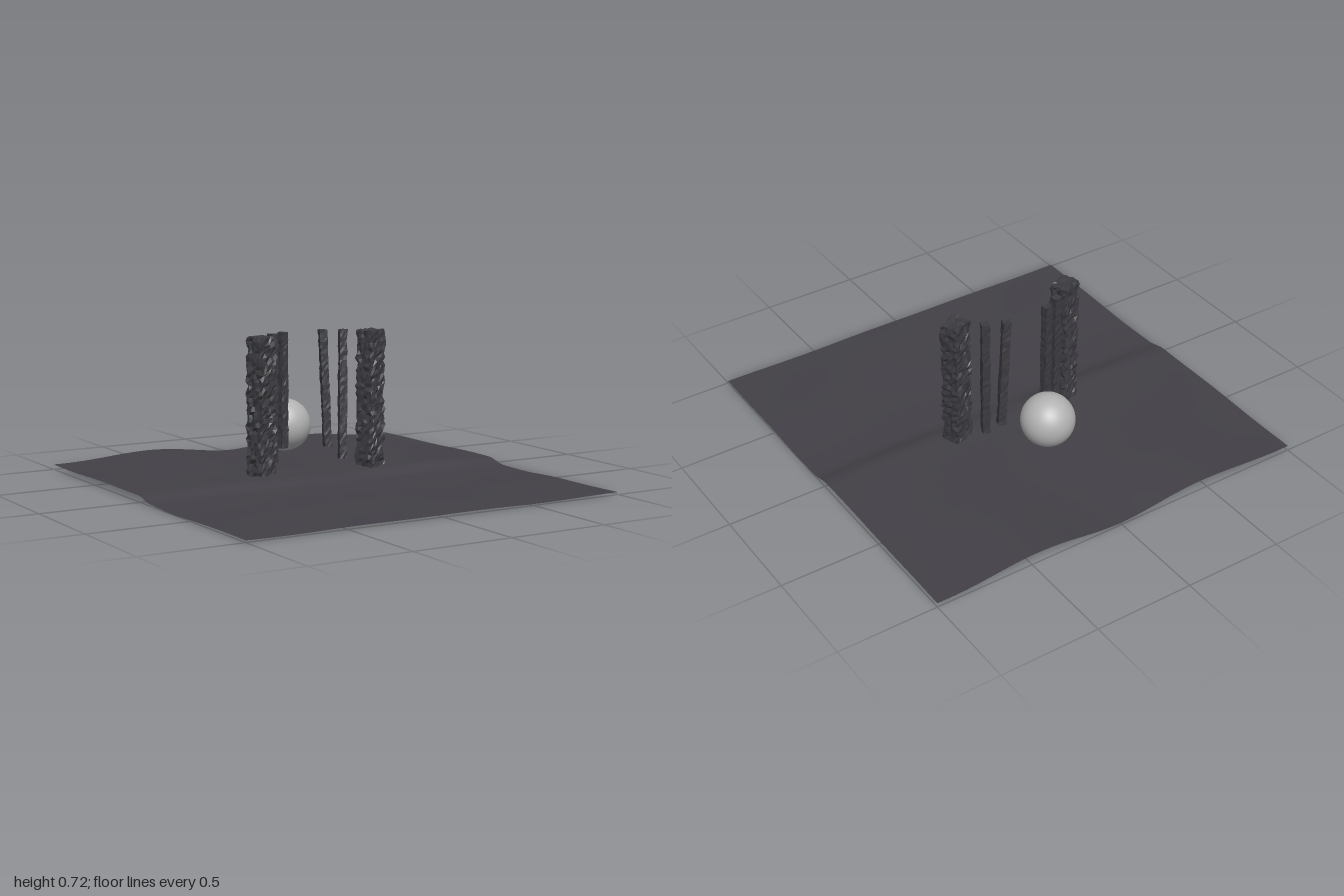
import * as THREE from 'three';

const groundMat = new THREE.MeshStandardMaterial({ color: 0x424046, side: THREE.DoubleSide });
groundMat.name = 'charcoal ground';
const rockMat = new THREE.MeshStandardMaterial({ color: 0x3c3b40, flatShading: true });
rockMat.name = 'dark rock';
const orbMat = new THREE.MeshStandardMaterial({ color: 0xb2b2b2 });
orbMat.name = 'pale grey';

// Repeatable value in -1..1 for a point, so shared corners move together
function hash(x, y, z) {
  const s = Math.sin(x * 127.1 + y * 311.7 + z * 74.7) * 43758.5453;
  return (s - Math.floor(s)) * 2 - 1;
}

// Gently rolling ground with a low step across the middle
function groundHeight(x, z) {
  const step = 1 - THREE.MathUtils.smoothstep(z, -0.02, 0.1);
  const back = THREE.MathUtils.smoothstep(-z, 0.15, 1);
  const dip = Math.exp(-(((z - 0.3) / 0.16) ** 2));
  const wave = Math.cos(x * Math.PI * 2) * (1 - 0.5 * Math.abs(x));
  return 0.032 + 0.026 * step - 0.025 * back * wave
    - 0.009 * dip * (0.6 + 0.6 * wave)
    - 0.006 * step * (1 - back) * wave
    + 0.003 * Math.sin(x * 7 + z * 4) * Math.sin(z * 6 - x * 2);
}

function makeGround() {
  const geo = new THREE.PlaneGeometry(2, 2, 64, 64);
  geo.rotateX(-Math.PI / 2);
  const p = geo.attributes.position;
  for (let i = 0; i < p.count; i++) p.setY(i, groundHeight(p.getX(i), p.getZ(i)));
  geo.computeVertexNormals();
  const mesh = new THREE.Mesh(geo, groundMat);
  mesh.name = 'ground';
  return mesh;
}

// Rough stone pillar running from a bottom centre to a top centre
function makePillar({ name, bottom, top, w, d, turn, rough, across, along }) {
  const h = top[1] - bottom[1];
  const geo = new THREE.BoxGeometry(w, h, d, across, along, across);
  geo.rotateY(turn);
  const p = geo.attributes.position;
  for (let i = 0; i < p.count; i++) {
    const [x, y, z] = [p.getX(i), p.getY(i), p.getZ(i)].map((v) => Math.round(v * 1e4) / 1e4);
    const t = y / h + 0.5;
    p.setXYZ(i,
      x + THREE.MathUtils.lerp(bottom[0], top[0], t) + rough * hash(x, y, z),
      y + (bottom[1] + top[1]) / 2 + rough * 0.6 * hash(z + 3, x, y),
      z + THREE.MathUtils.lerp(bottom[2], top[2], t) + rough * hash(y, z, x + 5));
  }
  geo.computeVertexNormals();
  const mesh = new THREE.Mesh(geo, rockMat);
  mesh.name = name;
  return mesh;
}

export function createModel() {
  const model = new THREE.Group();
  model.name = 'stoneCircle';
  model.add(makeGround());

  // Two thick outer pillars
  const thick = { w: 0.112, d: 0.09, turn: 0.38, rough: 0.007, across: 6, along: 34 };
  // Four slim inner pillars
  const slim = { w: 0.038, d: 0.038, turn: 0.15, rough: 0.0025, across: 3, along: 30 };
  const pillars = [
    { ...thick, name: 'rightOuterPillar', bottom: [-0.31, 0.075, -0.085], top: [-0.31, 0.743, -0.085] },
    { ...thick, name: 'leftOuterPillar', bottom: [0.297, 0.068, -0.065], top: [0.312, 0.743, -0.085] },
    { ...slim, name: 'rightMiddlePillar', bottom: [-0.202, 0.11, -0.165], top: [-0.202, 0.743, -0.165] },
    { ...slim, name: 'rightInnerPillar', bottom: [-0.122, 0.17, -0.205], top: [-0.122, 0.743, -0.205] },
    { ...slim, name: 'leftInnerPillar', turn: -0.3, bottom: [0.132, 0.157, -0.2], top: [0.108, 0.743, -0.207] },
    { ...slim, name: 'leftMiddlePillar', turn: -0.3, bottom: [0.187, 0.1, -0.148], top: [0.203, 0.743, -0.17] },
  ];
  for (const spec of pillars) model.add(makePillar(spec));

  // Floating ball behind the pillars
  const orb = new THREE.Mesh(new THREE.SphereGeometry(0.132, 40, 28), orbMat);
  orb.name = 'floatingBall';
  orb.position.set(0, 0.252, -0.4);
  model.add(orb);
  return model;
}
